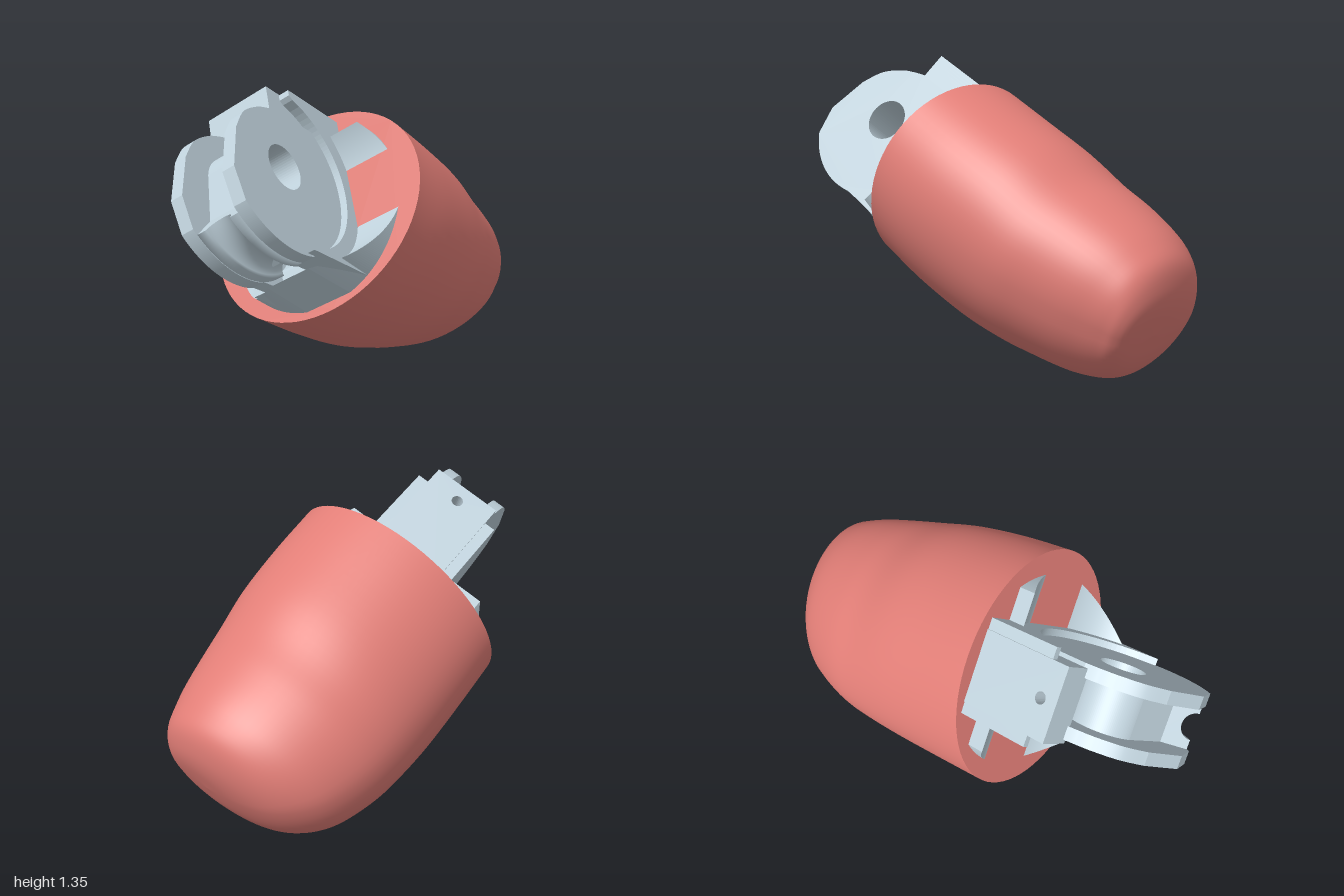
import * as THREE from 'three';

const red = new THREE.MeshStandardMaterial({ color: 0xe27e77, side: THREE.DoubleSide });
red.name = 'coral red';
const grey = new THREE.MeshStandardMaterial({ color: 0xc0d2dc, side: THREE.DoubleSide });
grey.name = 'blue grey';

const HOLE_N = 0.42, HOLE_V = -0.015, BODY_R = 0.445, DEG = Math.PI / 180;

function add(parent, name, geometry, material) {
  const mesh = new THREE.Mesh(geometry, material);
  mesh.name = name;
  parent.add(mesh);
  return mesh;
}

// Fingertip shell: sheared ellipses stacked along the finger axis
function shellGeometry() {
  // [distance, left, right, top, bottom]
  const rows = [
    [0, -0.505, 0.515, 0.496, -0.495], [-0.25, -0.515, 0.505, 0.488, -0.5],
    [-0.5, -0.525, 0.475, 0.475, -0.49], [-0.7, -0.53, 0.44, 0.44, -0.455],
    [-0.85, -0.523, 0.395, 0.428, -0.42], [-1, -0.488, 0.345, 0.41, -0.375],
    [-1.1, -0.442, 0.305, 0.385, -0.325], [-1.18, -0.365, 0.27, 0.345, -0.26],
    [-1.23, -0.27, 0.24, 0.27, -0.18], [-1.257, -0.14, 0.18, 0.18, -0.08],
    [-1.265, 0.02, 0.02, 0.05, 0.05]];
  const side = new THREE.CatmullRomCurve3(rows.map(r => new THREE.Vector3(r[0], r[1], r[2])), false, 'catmullrom');
  const tall = new THREE.CatmullRomCurve3(rows.map(r => new THREE.Vector3(r[0], r[3], r[4])), false, 'catmullrom');
  const pos = [], idx = [], rings = 50, seg = 72;
  for (let i = 0; i <= rings; i++) {
    const s = side.getPoint(i / rings), t = tall.getPoint(i / rings);
    const cx = (s.y + s.z) / 2, a = (s.z - s.y) / 2, cy = (t.y + t.z) / 2, b = (t.y - t.z) / 2;
    const f = i / rings;
    for (let j = 0; j < seg; j++) {
      const th = j / seg * Math.PI * 2, sin = Math.sin(th);
      const shear = sin > 0 ? 0.18 + 0.14 * f * f : 0.18 - 0.1 * f;
      pos.push(cx + a * Math.cos(th) + shear * b * sin, cy + b * sin, s.x);
      if (i < rings) {
        const p = i * seg + j, q = i * seg + (j + 1) % seg;
        idx.push(p, p + seg, q, q, p + seg, q + seg);
      }
    }
  }
  const shell = new THREE.BufferGeometry();
  shell.setAttribute('position', new THREE.Float32BufferAttribute(pos, 3));
  shell.setIndex(idx);
  shell.computeVertexNormals();
  const rim = [];
  for (let j = 0; j < seg; j++) rim.push(new THREE.Vector2(pos[j * 3], pos[j * 3 + 1]));
  return { shell, face: new THREE.ShapeGeometry(new THREE.Shape(rim)) };
}

// Slice of the round base, hollowed by a cylinder around the hinge axis,
// narrowing by the taper rate away from the shell
function slabGeometry(cutR, w0, w1, v0, v1, topLow, topHigh, taper = 0) {
  const pos = [], steps = 56;
  const quad = (a, b, c, d) => pos.push(...a, ...b, ...c, ...a, ...c, ...d);
  const section = v => {
    const s = Math.sqrt(BODY_R * BODY_R - v * v), h = v - HOLE_V;
    const a = Math.max(w0, -s), b = Math.min(w1, s);
    const arc = Math.abs(h) < cutR ? HOLE_N - Math.sqrt(cutR * cutR - h * h) : 1;
    const top = Math.max(-0.05, Math.min(v < 0 ? topLow : topHigh, arc));
    const k = 1 - taper * top;
    return [[a, v, -0.06], [b, v, -0.06], [b * k, v * k, top], [a * k, v * k, top]];
  };
  let prev = section(v0);
  quad(...prev);
  for (let i = 1; i <= steps; i++) {
    const next = section(v0 + (v1 - v0) * i / steps);
    for (let k = 0; k < 4; k++) {
      const m = (k + 1) % 4;
      quad(prev[k], next[k], next[m], prev[m]);
    }
    prev = next;
  }
  quad(prev[3], prev[2], prev[1], prev[0]);
  const g = new THREE.BufferGeometry();
  g.setAttribute('position', new THREE.Float32BufferAttribute(pos, 3));
  g.computeVertexNormals();
  return g;
}

function circleHole(x, y, r) {
  return new THREE.Path().absarc(x, y, r, 0, Math.PI * 2, true);
}

// Extrudes a hinge-centred side profile between two widths, with the pin hole
function sideExtrude(shape, w0, w1) {
  shape.holes = [circleHole(0, 0, 0.1)];
  const g = new THREE.ExtrudeGeometry(shape, { depth: w1 - w0, bevelEnabled: false, curveSegments: 32 });
  g.rotateY(-Math.PI / 2);
  g.translate(w1, HOLE_V, HOLE_N);
  return g;
}

export function createModel() {
  const model = new THREE.Group();
  model.name = 'fingertip';
  const finger = new THREE.Group();
  finger.name = 'tiltedFinger';
  finger.position.set(0.01, 0.79, 0.22);
  finger.rotation.x = -26.7 * DEG;
  model.add(finger);

  const { shell, face } = shellGeometry();
  add(finger, 'tipShell', shell, red);
  add(finger, 'tipFace', face, red);

  const joint = new THREE.Group();
  joint.name = 'hingeJoint';
  joint.rotation.z = 32.7 * DEG;
  finger.add(joint);

  // Flared base wings and the recessed ring beside the plates
  add(joint, 'upperWing', slabGeometry(0.443, -1, 1, 0.122, 0.27, 0, 0.085), grey);
  add(joint, 'lowerWing', slabGeometry(0.443, -1, 1, -0.43, -0.152, 0.3, 0, 0.35), grey);
  add(joint, 'leftRing', slabGeometry(0.37, 0.085, 0.21, -0.385, 0.385, 0.36, 0.35), grey);
  add(joint, 'middleRing', slabGeometry(0.37, -0.085, 0.085, -0.39, 0.385, 0.18, 0.2), grey);
  add(joint, 'rightRing', slabGeometry(0.37, -0.21, -0.085, -0.375, 0.385, 0.22, 0.35), grey);

  // Two hinge plates, wider towards the lower front
  const plate = new THREE.Shape();
  plate.moveTo(-0.46, -0.365);
  plate.lineTo(-0.1, -0.37);
  plate.absarc(0, 0, 0.388, -105 * DEG, -43 * DEG, false);
  plate.lineTo(0.325, -0.13);
  plate.lineTo(0.28, 0.065);
  plate.splineThru([[0.22, 0.165], [0.13, 0.232], [0.06, 0.262], [0, 0.28]].map(p => new THREE.Vector2(...p)));
  plate.lineTo(-0.46, 0.28);
  add(joint, 'leftPlate', sideExtrude(plate, 0.12, 0.178), grey);
  add(joint, 'rightPlate', sideExtrude(plate, -0.142, -0.084), grey);

  // Hub between the plates, running down into the web
  const hub = new THREE.Shape();
  hub.moveTo(-0.1, -0.33);
  hub.lineTo(0.18, -0.2);
  hub.absarc(0, 0, 0.16, 10 * DEG, 180 * DEG, false);
  add(joint, 'hub', sideExtrude(hub, -0.084, 0.12), grey);

  // Stop block across the top, with its small through hole
  const top = new THREE.Shape();
  top.moveTo(-0.16, -0.05);
  top.lineTo(0.16, -0.05);
  top.lineTo(0.16, 0.435);
  top.lineTo(-0.16, 0.435);
  top.holes.push(circleHole(0, 0.355, 0.026));
  const block = new THREE.ExtrudeGeometry(top, { depth: 0.145, bevelEnabled: false });
  block.rotateX(Math.PI / 2);
  block.translate(0, 0.39, 0);
  add(joint, 'stopBlock', block, grey);

  // Lower web with a round cord groove in its rim
  const half = 0.102;
  const profile = [new THREE.Vector2(0.2, -half), new THREE.Vector2(0.385, -half)];
  for (let i = 0; i <= 14; i++) {
    const t = Math.PI * i / 14;
    profile.push(new THREE.Vector2(0.385 - 0.06 * Math.sin(t), -0.06 * Math.cos(t)));
  }
  profile.push(new THREE.Vector2(0.385, half), new THREE.Vector2(0.2, half));
  const web = new THREE.Group();
  web.name = 'cordWeb';
  web.position.set(0.018, HOLE_V, HOLE_N);
  web.rotation.z = -Math.PI / 2;
  joint.add(web);
  const start = 47 * DEG, sweep = 73 * DEG;
  add(web, 'grooveRim', new THREE.LatheGeometry(profile, 32, start, sweep), grey);
  for (const phi of [start, start + sweep]) {
    const cap = new THREE.ShapeGeometry(new THREE.Shape(profile));
    cap.rotateY(phi - Math.PI / 2);
    add(web, 'webEnd', cap, grey);
  }
  return model;
}
